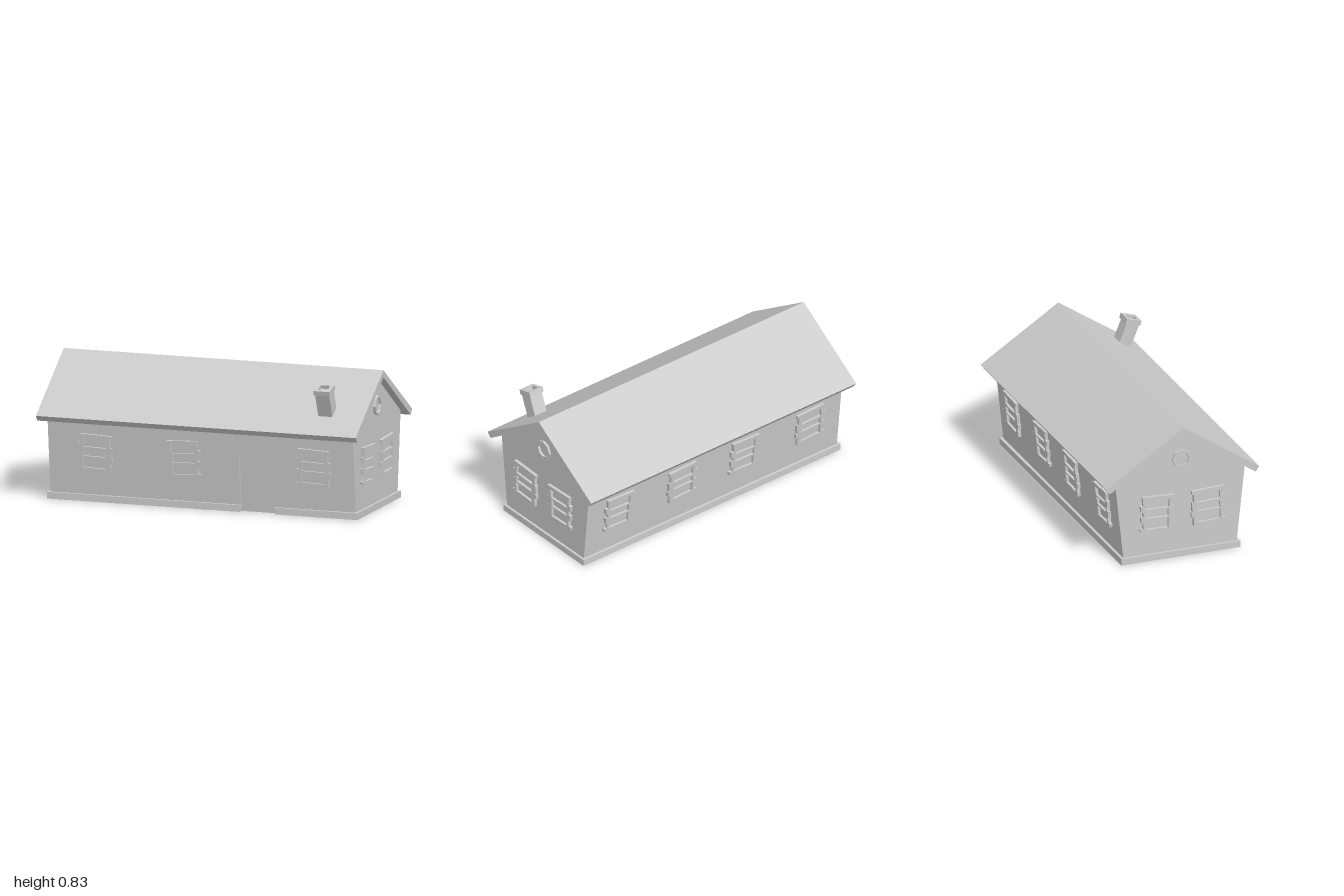
import * as THREE from 'three';

const material = new THREE.MeshStandardMaterial({ color: 0xcccccc, flatShading: true, side: THREE.DoubleSide });
const HALF_X = 0.955;            // gable wall position
const WALL_FOOT = 0.354;         // z of the long walls at the ground
const LEAN = 0.108;              // outward lean of the long walls
const RIDGE_Z = 0.007;
const DOOR = { x0: 0.235, x1: 0.455, top: 0.34 };

function add(parent, name, geometry) {
  const mesh = new THREE.Mesh(geometry, material);
  mesh.name = name;
  parent.add(mesh);
  return mesh;
}

const toShape = (pts) => new THREE.Shape(pts.map(([x, y]) => new THREE.Vector2(x, y)));
const rect = (x0, y0, x1, y1) => [[x0, y0], [x1, y0], [x1, y1], [x0, y1]];

// Extrude an outline (with optional holes) from z = from to z = to
function slab(outline, holes, from, to) {
  const shape = toShape(outline);
  holes.forEach((h) => shape.holes.push(toShape(h)));
  const g = new THREE.ExtrudeGeometry(shape, { depth: to - from, bevelEnabled: false });
  return g.translate(0, 0, from);
}

function sheet(outline, holes = []) {
  const shape = toShape(outline);
  holes.forEach((h) => shape.holes.push(toShape(h)));
  return new THREE.ShapeGeometry(shape);
}

// Shear a geometry so that it follows the leaning long wall
function lean(g) {
  const p = g.attributes.position;
  for (let i = 0; i < p.count; i++) p.setZ(i, p.getZ(i) + WALL_FOOT + LEAN * p.getY(i));
  g.computeVertexNormals();
  return g;
}
const upright = (g) => g.translate(0, 0, HALF_X);

// Crooked plank window: outline and three panes, in hundredths around its centre
const FRAME = [
  [-9.6, 11.4], [10.6, 10.6], [10.4, 8.5], [9.3, 8.5], [9.3, 3.5], [10.5, 3.4],
  [10.2, -2.5], [9.3, -2.6], [10.8, -2.8], [10.6, -6], [9.2, -6.1], [9.4, -9.5], [9.3, -11.6],
  [-10.7, -10.9], [-11.1, -8.8], [-9.2, -8.6], [-8.9, -5.2], [-10.2, -5], [-10.6, -1],
  [-9.2, -0.9], [-9.1, 2], [-10.5, 2.1], [-10.8, 5.8], [-9.1, 6],
];
const PANES = [
  [[-7, 9], [7.5, 8.6], [7.1, 3.1], [-7.4, 3.6]],
  [[-7.2, 2.1], [6.7, 2.4], [6.7, -2.4], [-7.4, -2.1]],
  [[-7.6, -2.9], [6.7, -3.3], [6.6, -9.6], [-7.5, -9.1]],
];

function addWindow(parent, x, mirrored, place) {
  const s = mirrored ? -0.01 : 0.01;
  const map = (pts) => pts.map(([px, py]) => [x + px * s, 0.298 + py * 0.01]);
  const group = new THREE.Group();
  group.name = 'window';
  add(group, 'windowFrame', place(slab(map(FRAME), PANES.map(map), 0.002, 0.02)));
  add(group, 'windowPane', place(slab(map(FRAME), [], -0.005, 0.004)));
  parent.add(group);
}

function octagon(cx, cy, r) {
  return Array.from({ length: 8 }, (_, i) => {
    const a = (i * Math.PI) / 4;
    return [cx + r * Math.sin(a), cy + r * Math.cos(a)];
  });
}

function longWall(name, windows, hasDoor) {
  const wall = new THREE.Group();
  wall.name = name;
  const { x0, x1, top } = DOOR;
  // The doorway is a notch open at the ground
  const notch = hasDoor ? [[x0, 0], [x0, top], [x1, top], [x1, 0]] : [];
  add(wall, 'wallSheet', lean(sheet([[-HALF_X, 0], ...notch, [HALF_X, 0], [HALF_X, 0.512], [-HALF_X, 0.512]])));
  windows.forEach(([x, mirrored]) => addWindow(wall, x, mirrored, lean));
  if (hasDoor) {
    const t = 0.004;
    const jamb = [[x0 - t, 0], [x0, 0], [x0, top], [x1, top], [x1, 0], [x1 + t, 0], [x1 + t, top + t], [x0 - t, top + t]];
    add(wall, 'doorJamb', lean(slab(jamb, [], -0.018, -0.0005)));
    add(wall, 'door', lean(sheet(rect(x0, 0, x1, top)).translate(0, 0, -0.014)));
  }
  return wall;
}

// side = 1 for the +x end, -1 for the -x end
function gableWall(side) {
  const wall = new THREE.Group();
  wall.name = side > 0 ? 'leftGable' : 'rightGable';
  const ridge = -RIDGE_Z * side;
  const eave = WALL_FOOT + LEAN * 0.512;
  add(wall, 'gableSheet', upright(sheet([[-WALL_FOOT, 0], [WALL_FOOT, 0], [eave, 0.512], [ridge, 0.79], [-eave, 0.512]])));
  addWindow(wall, -0.173 * side, side < 0, upright);
  addWindow(wall, 0.148 * side, side > 0, upright);
  add(wall, 'roundWindow', upright(slab(octagon(ridge, 0.62, 0.06), [octagon(ridge, 0.62, 0.045)], 0, 0.015)));
  wall.rotation.y = (side * Math.PI) / 2;
  return wall;
}

export function createModel() {
  const house = new THREE.Group();
  house.name = 'house';

  // Walls
  house.add(longWall('frontWall', [[-0.66, false], [-0.11, true], [0.705, false]], true));
  const back = longWall('backWall', [[-0.72, false], [-0.245, true], [0.225, false], [0.72, true]], false);
  back.rotation.y = Math.PI;
  house.add(back, gableWall(1), gableWall(-1));

  // Plinth: a ring broken at the doorway (drawn with y as -z, then laid flat)
  const [ox, oz, ix, iz] = [0.97, 0.376, 0.945, 0.348];
  const ring = [
    [DOOR.x1, -oz], [ox, -oz], [ox, oz], [-ox, oz], [-ox, -oz], [DOOR.x0, -oz],
    [DOOR.x0, -iz], [-ix, -iz], [-ix, iz], [ix, iz], [ix, -iz], [DOOR.x1, -iz],
  ];
  add(house, 'plinth', slab(ring, [], 0, 0.04).rotateX(-Math.PI / 2));

  // Roof: a chevron extruded along x
  const chevron = [
    [-0.484, 0.512], [-0.46, 0.48], [-RIDGE_Z, 0.79], [0.46, 0.48], [0.484, 0.512], [-RIDGE_Z, 0.832],
  ];
  add(house, 'roof', slab(chevron, [], -1, 1).rotateY(Math.PI / 2));

  // Crooked chimney with a hollow cap
  const chimney = new THREE.Group();
  chimney.name = 'chimney';
  const shaft = add(chimney, 'chimneyShaft', new THREE.BoxGeometry(0.088, 0.16, 0.08).translate(0, -0.08, 0));
  shaft.position.set(0.762, 0.752, 0.369);
  shaft.rotation.x = 0.385;
  const cap = add(chimney, 'chimneyCap',
    slab(rect(-0.05, -0.049, 0.05, 0.049), [rect(-0.03, -0.03, 0.03, 0.03)], -0.015, 0.015).rotateX(-Math.PI / 2));
  cap.position.set(0.762, 0.763, 0.369);
  cap.rotation.x = 0.29;
  house.add(chimney);

  return house;
}
